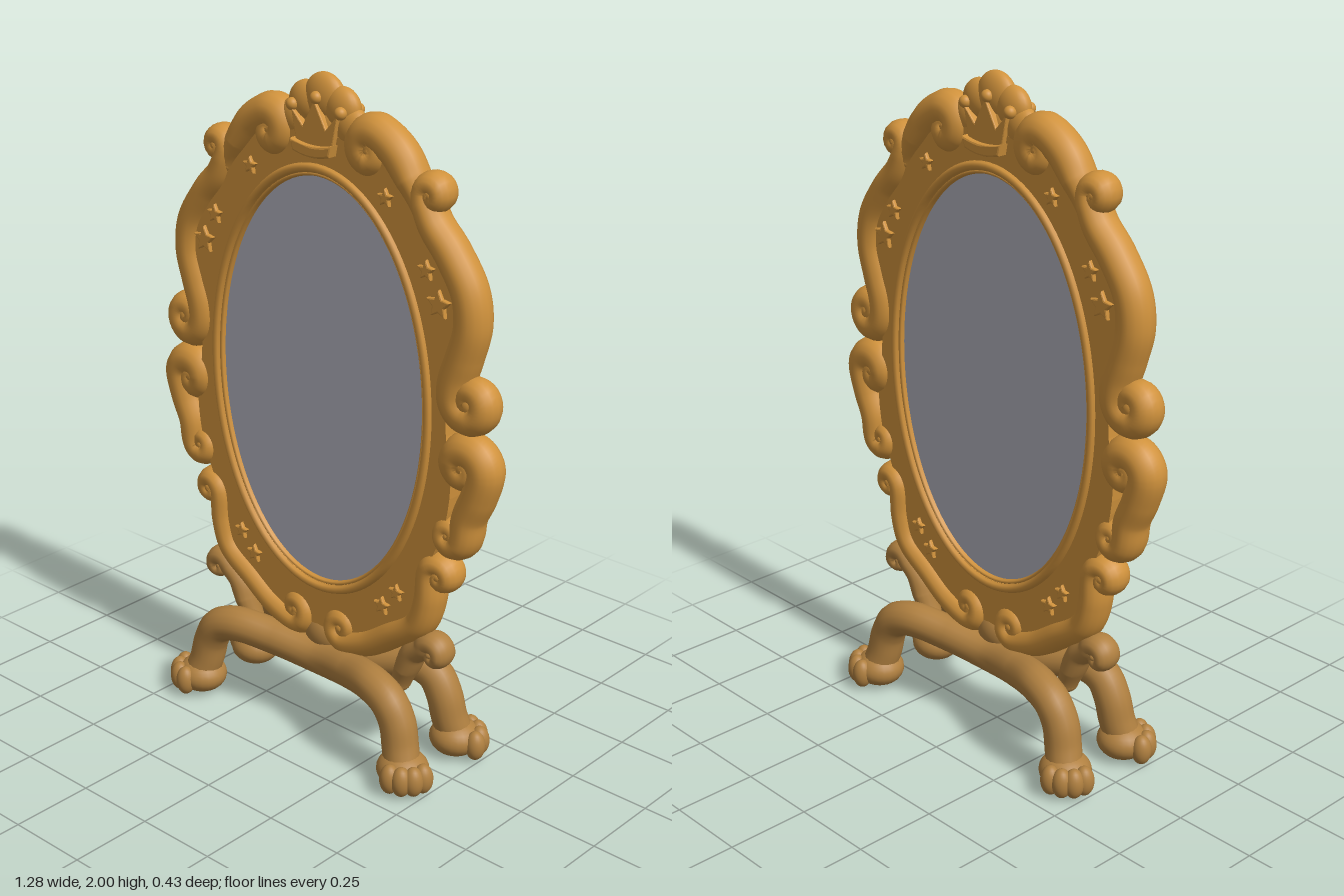
import * as THREE from 'three';
import { mergeVertices } from 'three/addons/utils/BufferGeometryUtils.js';

const gold = new THREE.MeshStandardMaterial({ color: 0xd0923c });
const bronze = new THREE.MeshStandardMaterial({ color: 0xb08040 });
const silver = new THREE.MeshStandardMaterial({ color: 0xb0b0bc });
const V = (x, y, z = 0) => new THREE.Vector3(x, y, z);
const CY = 1.105; // centre height of the oval

function add(parent, name, geo, mat, x = 0, y = 0, z = 0) {
  const m = new THREE.Mesh(geo, mat);
  m.name = name;
  m.position.set(x, y, z);
  parent.add(m);
  return m;
}

function ball(parent, name, mat, p, rx, ry, rz) {
  add(parent, name, new THREE.SphereGeometry(1, 24, 16), mat, p.x, p.y, p.z).scale.set(rx, ry, rz);
}

// Spiral from its eye outwards, ending at angle "end" (degrees) and turning by dir (+1 is anticlockwise)
function spiral(cx, cy, R, end, dir, turns = 1.25) {
  const pts = [], n = 14;
  for (let i = 0; i <= n; i++) {
    const t = i / n;
    const a = THREE.MathUtils.degToRad(end) - dir * turns * 2 * Math.PI * (1 - t);
    const r = R * (0.1 + 0.9 * t);
    pts.push([cx + r * Math.cos(a), cy + r * Math.sin(a)]);
  }
  return pts;
}

// Tube with a radius rule and rounded ends; depth overrides the half thickness in z
function taperedTube(parent, name, mat, pts, radius, depth) {
  const curve = new THREE.CatmullRomCurve3(pts, false, 'centripetal');
  const n = 110, k = 16;
  const geo = new THREE.TubeGeometry(curve, n, 1, k);
  const pos = geo.attributes.position, v = V(0, 0);
  for (let i = 0; i <= n; i++) {
    const c = curve.getPointAt(i / n), r = radius(i / n);
    const zr = depth ? depth(i / n) : r;
    for (let j = 0; j <= k; j++) {
      const q = i * (k + 1) + j;
      v.fromBufferAttribute(pos, q).sub(c);
      pos.setXYZ(q, c.x + v.x * r, c.y + v.y * r, c.z + v.z * zr);
    }
  }
  geo.deleteAttribute('uv');
  geo.deleteAttribute('normal');
  const smooth = mergeVertices(geo, 1e-5);
  smooth.computeVertexNormals();
  add(parent, name, smooth, mat);
  for (const u of [0, 1]) {
    const r = radius(u);
    ball(parent, name + 'End', mat, curve.getPointAt(u), r, r, depth ? depth(u) : r);
  }
}

// Flat scroll, swelling in the middle
function scroll(parent, name, mat, pts, side, r0, r1, depth) {
  const swell = u => 0.78 + 0.34 * THREE.MathUtils.smoothstep(Math.min(u, 1 - u), 0, 0.32);
  taperedTube(parent, name, mat, pts.map(p => V(side * p[0], p[1])),
    u => (r0 + (r1 - r0) * u) * swell(u), u => depth * Math.min(1, swell(u) + 0.02));
}

function plate(shape, half, bevel = 0) {
  const geo = new THREE.ExtrudeGeometry(shape, {
    depth: 2 * (half - bevel), curveSegments: 48, bevelEnabled: bevel > 0,
    bevelThickness: bevel, bevelSize: bevel, bevelOffset: -bevel, bevelSegments: 2,
  });
  return geo.translate(0, 0, -(half - bevel));
}

function starShape(r) {
  const pts = [];
  for (let i = 0; i < 10; i++) {
    const a = Math.PI / 2 + i * Math.PI / 5, d = i % 2 ? r * 0.52 : r;
    pts.push(new THREE.Vector2(d * Math.cos(a), d * Math.sin(a)));
  }
  return new THREE.Shape(pts);
}

function buildFrame(parent) {
  // Backing panel with an oval opening
  const half = [[0.15, 1.83], [0.27, 1.8], [0.36, 1.7], [0.46, 1.58], [0.515, 1.46], [0.5, 1.3],
    [0.47, 1.2], [0.47, 1.08], [0.49, 0.95], [0.47, 0.8], [0.43, 0.7], [0.4, 0.55],
    [0.36, 0.46], [0.27, 0.4], [0.12, 0.35]];
  const outline = [[0, 1.84], ...half, [0, 0.34], ...half.slice().reverse().map(p => [-p[0], p[1]])];
  const path = new THREE.CatmullRomCurve3(outline.map(p => V(p[0], p[1])), true);
  const shape = new THREE.Shape(path.getPoints(120).slice(0, -1).map(p => new THREE.Vector2(p.x, p.y)));
  const hole = new THREE.Path();
  hole.absellipse(0, CY, 0.39, 0.62, 0, Math.PI * 2, true);
  shape.holes.push(hole);
  add(parent, 'backPanel', plate(shape, 0.032), gold);

  // Mirror glass and its rims
  const glass = new THREE.CylinderGeometry(1, 1, 0.04, 72).rotateX(Math.PI / 2).scale(0.392, 0.622, 1);
  add(parent, 'mirrorGlass', glass, silver, 0, CY, 0);
  for (const [name, rx, ry, r, depth] of [['outerRim', 0.406, 0.634, 0.02, 0.046], ['innerRim', 0.388, 0.616, 0.009, 0.034]]) {
    const pts = [];
    for (let i = 0; i < 48; i++) {
      const a = i / 48 * Math.PI * 2;
      pts.push(V(rx * Math.cos(a), ry * Math.sin(a)));
    }
    const rim = new THREE.TubeGeometry(new THREE.CatmullRomCurve3(pts, true), 120, r, 12, true);
    add(parent, name, rim.scale(1, 1, depth / r), gold, 0, CY, 0);
  }

  // Scrollwork and stars on both sides
  const inward = (...a) => spiral(...a).reverse();
  for (const s of [1, -1]) {
    scroll(parent, 'topScroll', gold, [...spiral(0.182, 1.818, 0.052, 50, -1),
      [0.265, 1.825], [0.31, 1.77], [0.36, 1.69]], s, 0.05, 0.045, 0.056);
    scroll(parent, 'upperScroll', gold, [...spiral(0.395, 1.735, 0.034, 180, 1),
      [0.39, 1.66], [0.455, 1.585], [0.515, 1.49], [0.527, 1.4], [0.503, 1.31], [0.48, 1.24],
      ...inward(0.537, 1.192, 0.06, 185, -1)], s, 0.04, 0.052, 0.056);
    scroll(parent, 'middleScroll', gold, [...spiral(0.525, 0.998, 0.06, 0, -1),
      [0.565, 0.92], [0.535, 0.85], ...inward(0.485, 0.79, 0.042, 0, 1)], s, 0.053, 0.038, 0.056);
    scroll(parent, 'lowerScroll', gold, [...spiral(0.452, 0.648, 0.042, 180, 1),
      [0.405, 0.56], [0.375, 0.475], [0.28, 0.405], [0.19, 0.345],
      ...inward(0.093, 0.36, 0.046, 280, 1)], s, 0.038, 0.042, 0.056);
    for (const [x, y, r] of [[0.44, 1.45, 0.042], [0.395, 1.535, 0.03], [0.25, 1.705, 0.027],
      [0.308, 0.555, 0.027], [0.255, 0.495, 0.03]]) {
      add(parent, 'star', plate(starShape(r), 0.044, 0.005), gold, s * x, y);
    }
  }

  // Cloud-shaped crest behind the crown
  for (const [x, y, r] of [[0, 1.93, 0.07], [0.065, 1.91, 0.06], [-0.065, 1.91, 0.06], [0.1, 1.86, 0.06], [-0.1, 1.86, 0.06], [0, 1.84, 0.08]]) {
    ball(parent, 'crestLobe', gold, V(x, y), r, r, 0.037);
  }

  // Crown, visible from front and back
  const crown = new THREE.Shape([[-0.065, 1.8], [0.065, 1.8], [0.085, 1.9], [0.042, 1.855],
    [0, 1.93], [-0.042, 1.855], [-0.085, 1.9]].map(p => new THREE.Vector2(...p)));
  add(parent, 'crown', plate(crown, 0.046, 0.004), gold);
  for (const z of [-0.036, 0.036]) {
    for (const [x, y] of [[-0.088, 1.905], [0, 1.935], [0.088, 1.905]]) {
      ball(parent, 'crownPearl', gold, V(x, y, z), 0.018, 0.018, 0.018);
    }
  }
  const band = new THREE.Shape();
  band.moveTo(-0.075, 1.818);
  band.quadraticCurveTo(0, 1.795, 0.075, 1.818);
  band.lineTo(0.068, 1.785);
  band.quadraticCurveTo(0, 1.762, -0.068, 1.785);
  add(parent, 'crownBand', plate(band, 0.062, 0.006), gold);
}

function buildStand(parent) {
  for (const sz of [1, -1]) {
    // One arched beam runs from paw to paw
    const half = [[0.415, 0.055, 0.125], [0.395, 0.12, 0.112], [0.378, 0.19, 0.107],
      [0.342, 0.245, 0.106], [0.275, 0.268, 0.095], [0.15, 0.25, 0.053]];
    const at = (s, p) => V(s * p[0], p[1], sz * p[2]);
    const pts = [...half.map(p => at(-1, p)), V(0, 0.23, sz * 0.024), ...half.slice().reverse().map(p => at(1, p))];
    taperedTube(parent, 'legBeam', bronze, pts, () => 0.054);
    // Paws with four toes
    for (const sx of [1, -1]) {
      ball(parent, 'paw', bronze, V(sx * 0.412, 0.058, sz * 0.12), 0.078, 0.056, 0.076);
      for (const deg of [0, 29, 58, 87]) {
        const a = THREE.MathUtils.degToRad(deg);
        ball(parent, 'toe', bronze, V(sx * (0.415 + 0.073 * Math.cos(a)), 0.054, sz * (0.12 + 0.066 * Math.sin(a))),
          0.03, 0.046, 0.03);
      }
    }
  }
  // Curled side arms and centre support
  for (const s of [1, -1]) {
    scroll(parent, 'sideArm', bronze, [[0.3, 0.25], [0.325, 0.31], [0.35, 0.365],
      ...spiral(0.428, 0.388, 0.04, 165, 1, 1.1).reverse().slice(0, -1)], s, 0.038, 0.026, 0.045);
  }
  ball(parent, 'centreSupport', bronze, V(0, 0.3), 0.07, 0.06, 0.045);
}

export function createModel() {
  const model = new THREE.Group();
  model.name = 'standingMirror';
  const frame = new THREE.Group(), stand = new THREE.Group();
  frame.name = 'mirrorFrame';
  stand.name = 'stand';
  buildFrame(frame);
  buildStand(stand);
  model.add(frame, stand);
  return model;
}
